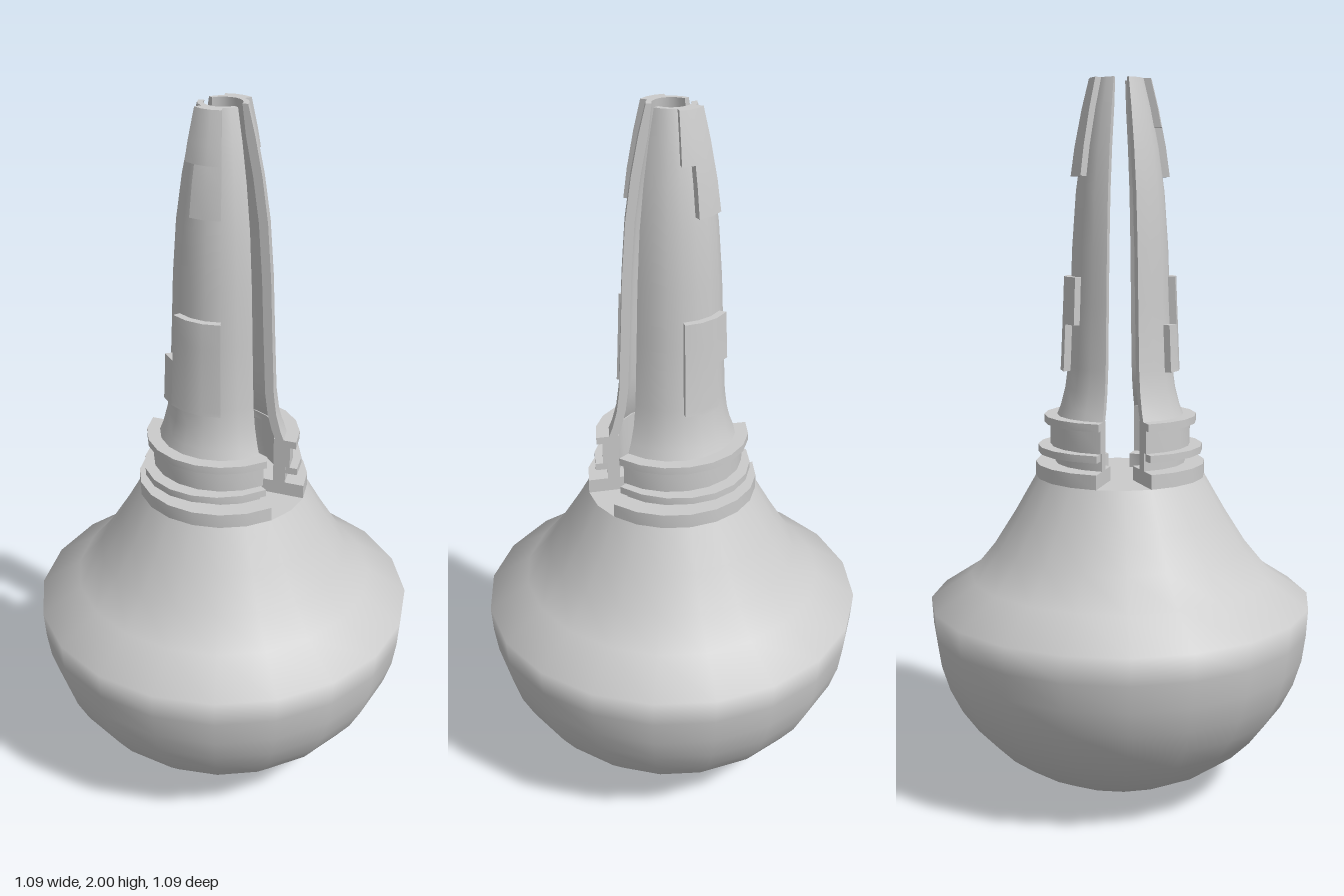
import * as THREE from 'three';
import { mergeGeometries, toCreasedNormals } from 'three/addons/utils/BufferGeometryUtils.js';

const SEG = 20, STEP = 360 / SEG;
const rad = THREE.MathUtils.degToRad;
const mat = new THREE.MeshStandardMaterial({ color: 0xcccccc });
const vecs = (pts) => pts.map(([r, y]) => new THREE.Vector2(r, y));

// Outer radius of the split tower: [radius, height]
const OUTER = [[0.18, 1.08], [0.168, 1.11], [0.155, 1.16], [0.147, 1.22], [0.139, 1.4],
  [0.133, 1.55], [0.122, 1.7], [0.105, 1.82], [0.085, 1.92], [0.065, 2]];

function outerRadius(y) {
  const i = Math.max(1, OUTER.findIndex((p) => p[1] >= y));
  const [r0, y0] = OUTER[i - 1], [r1, y1] = OUTER[i];
  return THREE.MathUtils.mapLinear(y, y0, y1, r0, r1);
}

// Closed counter-clockwise profile swept round the y axis between two angles, with end caps
function arcSolid(profile, from, to) {
  const pts = vecs(profile);
  const sweep = new THREE.LatheGeometry([...pts, pts[0].clone()], Math.round((to - from) / STEP), rad(from), rad(to - from));
  const cap = (angle, flip) => {
    const g = new THREE.ShapeGeometry(new THREE.Shape(pts));
    if (flip) g.setIndex(Array.from(g.index.array).reverse());
    return g.rotateY(rad(angle) - Math.PI / 2);
  };
  const parts = [sweep, cap(from, false), cap(to, true)].map((g) => g.toNonIndexed());
  return toCreasedNormals(mergeGeometries(parts), 0.6);
}

const ringProfile = (r0, r1, y0, y1) => [[r0, y0], [r1, y0], [r1, y1], [r0, y1]];

// Raised plate that follows the tower surface
function plate(y0, y1, from, to) {
  const ys = [y0, ...OUTER.map((p) => p[1]).filter((y) => y > y0 && y < y1), y1];
  const out = ys.map((y) => [outerRadius(y) + 0.02, y]);
  const back = ys.map((y) => [outerRadius(y) - 0.005, y]).reverse();
  return arcSolid([...out, ...back], from, to);
}

export function createModel() {
  const model = new THREE.Group();
  const add = (parent, name, geo) => {
    const mesh = new THREE.Mesh(geo, mat);
    mesh.name = name;
    parent.add(mesh);
    return mesh;
  };

  // Rounded bowl and sloping shoulder
  const body = [];
  for (let i = 0; i <= 10; i++) {
    const a = (i / 10) * rad(87);
    body.push([0.541 * Math.sin(a), 0.5 - 0.5 * Math.cos(a)]);
  }
  body.push([0.545, 0.55], [0.43, 0.625], [0.36, 0.71], [0.3, 0.805], [0.24, 0.91]);
  add(model, 'bulbBody', new THREE.LatheGeometry(vecs(body), SEG));
  const top = new THREE.CircleGeometry(0.24, SEG).rotateX(-Math.PI / 2).translate(0, 0.91, 0);
  add(model, 'bodyTop', top);

  // Two facing half shells, separated by a wedge-shaped slot
  const wall = [...OUTER, ...OUTER.map(([r, y]) => [r - (y > 1.95 ? 0.015 : 0.025), y]).reverse()];
  for (const side of [1, -1]) {
    const half = new THREE.Group();
    half.name = side > 0 ? 'leftHalf' : 'rightHalf';
    if (side < 0) half.rotation.y = Math.PI;
    const arc = (name, profile) => add(half, name, arcSolid(profile, STEP, 180 - STEP));
    arc('baseCollar', ringProfile(0.1, 0.24, 0.905, 0.95));
    arc('neck', ringProfile(0.15, 0.185, 0.95, 1.08));
    arc('neckBand', ringProfile(0.18, 0.198, 1.0, 1.065));
    arc('lowerRing', ringProfile(0.16, 0.233, 0.978, 0.998)).scale.z = 0.93;
    arc('upperRing', ringProfile(0.15, 0.215, 1.063, 1.084));
    arc('towerWall', wall);

    // Stepped plate at the tip
    add(half, 'tipPlateUpper', plate(1.87, 2, 72, 126));
    add(half, 'tipPlateLower', plate(1.74, 1.87, 90, 126));

    // Stepped plate near the foot, different on each half
    if (side > 0) {
      add(half, 'footPlateMain', plate(1.21, 1.47, 72, 108));
      add(half, 'footPlateTab', plate(1.34, 1.47, 108, 126));
    } else {
      add(half, 'footPlateMain', plate(1.21, 1.47, 72, 126));
      add(half, 'footPlateTab', plate(1.21, 1.34, 54, 72));
    }
    model.add(half);
  }
  return model;
}
